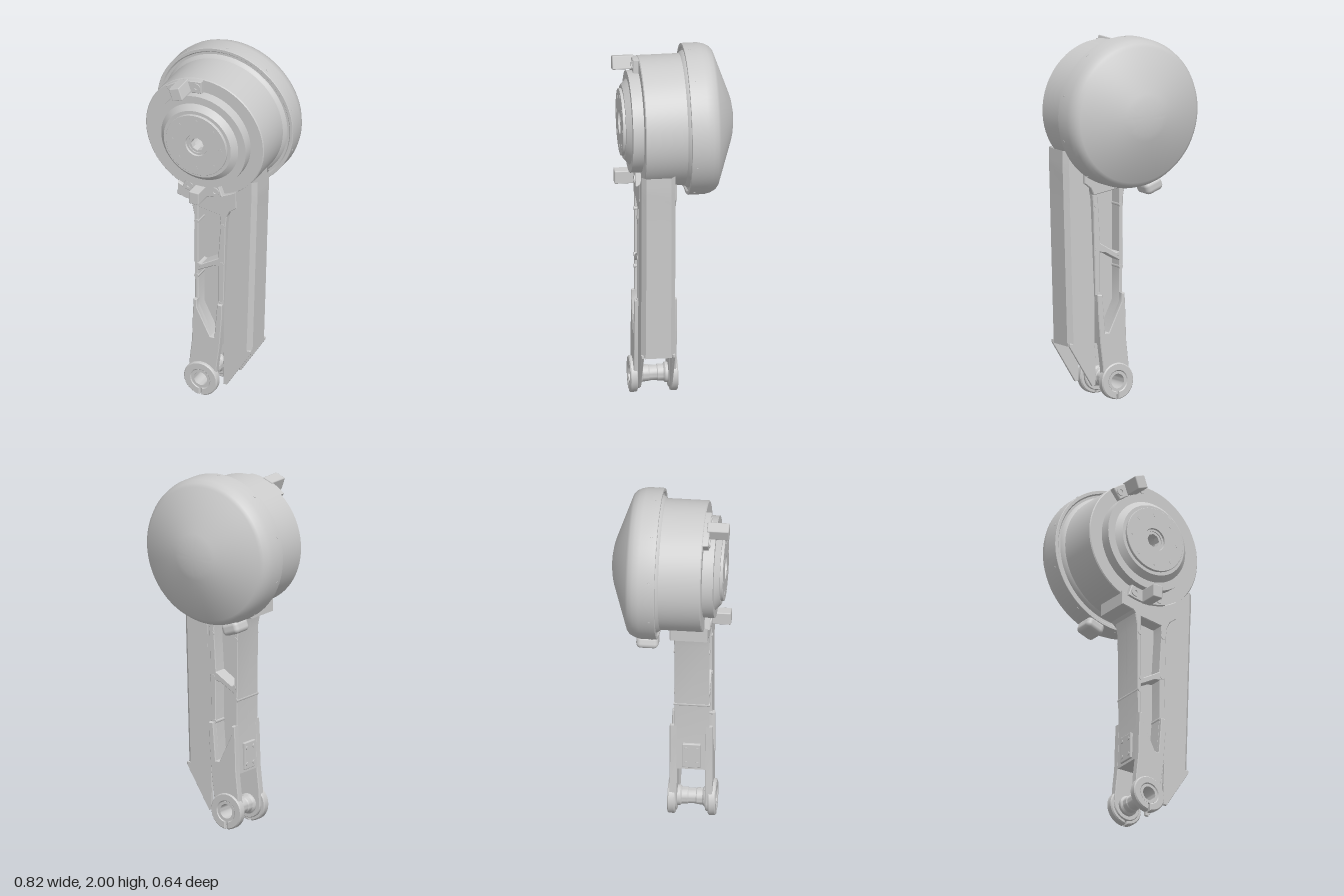
import * as THREE from 'three';
import { toCreasedNormals } from 'three/addons/utils/BufferGeometryUtils.js';
import { RoundedBoxGeometry } from 'three/addons/geometries/RoundedBoxGeometry.js';

const AXIS_Y = 1.59; // height of the motor axis
const EYE_Y = 0.1; // height of the lower pivot

export function createModel() {
  const model = new THREE.Group();
  const grey = new THREE.MeshStandardMaterial({ color: 0xcccccc });
  const greyThin = new THREE.MeshStandardMaterial({ color: 0xcccccc, side: THREE.DoubleSide });

  const add = (name, geometry, x = 0, y = 0, z = 0, material = grey) => {
    const mesh = new THREE.Mesh(geometry, material);
    mesh.name = name;
    mesh.position.set(x, y, z);
    model.add(mesh);
    return mesh;
  };
  const v2 = (pts) => pts.map(([x, y]) => new THREE.Vector2(x, y));
  // Turned part around the z axis; profile is [radius, z]
  const turned = (profile, segments = 64) =>
    toCreasedNormals(new THREE.LatheGeometry(v2(profile), segments).rotateX(Math.PI / 2), 0.5);
  // Plate between two z values, with a small edge bevel
  const plate = (shape, z0, z1, bevel = 0.004) => toCreasedNormals(new THREE.ExtrudeGeometry(shape, {
    depth: z1 - z0 - 2 * bevel, bevelEnabled: bevel > 0, bevelThickness: bevel, bevelSize: bevel,
    bevelOffset: -bevel, bevelSegments: 1, curveSegments: 20,
  }).translate(0, 0, z0 + bevel), 0.5);
  const disc = (r, depth, sides = 12) => new THREE.CylinderGeometry(r, r, depth, sides).rotateX(Math.PI / 2);
  const polar = (r, a) => [r * Math.cos(a), AXIS_Y + r * Math.sin(a)];

  // Motor: domed rear cover, drum, stepped front and central bore
  add('motorHousing', turned([
    [0, -0.323], [0.05, -0.322], [0.1, -0.314], [0.13, -0.306], [0.37, -0.222], [0.388, -0.208],
    [0.402, -0.182], [0.41, -0.15], [0.41, -0.062], [0.408, -0.06], [0.392, -0.06], [0.385, -0.068],
    [0.372, -0.068], [0.366, -0.055], [0.356, -0.045], [0.356, 0.18], [0.351, 0.185], [0.277, 0.185],
    [0.277, 0.245], [0.232, 0.245], [0.202, 0.275], [0.183, 0.275], [0.183, 0.288], [0.181, 0.29],
    [0.065, 0.29], [0.062, 0.28], [0.05, 0.28], [0.05, 0.17], [0, 0.17],
  ], 72), 0, AXIS_Y, 0);
  add('boreNut', turned([[0.038, 0.24], [0.055, 0.24], [0.055, 0.275], [0.038, 0.275], [0.038, 0.24]], 8), 0, AXIS_Y, 0);
  for (let i = 0; i < 8; i++) {
    const [x, y] = polar(0.145, i * Math.PI / 4);
    add('hubBolt', disc(0.014, 0.01, 4), x, y, 0.287);
  }
  for (let i = 0; i < 10; i++) {
    const a = Math.PI / 2 + i * Math.PI / 5;
    const [x, y] = polar(0.406, a);
    const screw = new THREE.Group();
    screw.name = 'coverScrew';
    screw.add(new THREE.Mesh(new THREE.TorusGeometry(0.013, 0.003, 6, 12), grey));
    screw.add(new THREE.Mesh(disc(0.007, 0.012, 6), grey));
    screw.position.set(x, y, -0.09);
    screw.lookAt(x + Math.cos(a), y + Math.sin(a), -0.09);
    model.add(screw);
  }

  // Stop blocks: curved foot on the drum face with a projecting stem
  const stopBlock = (name, mid, halfSpan, stemWidth, stemRadius) => {
    const foot = new THREE.Shape();
    foot.absarc(0, 0, 0.353, mid - halfSpan, mid + halfSpan, false);
    foot.absarc(0, 0, 0.28, mid + halfSpan, mid - halfSpan, true);
    add(name + 'Foot', plate(foot, 0.18, 0.216), 0, AXIS_Y, 0);
    const [x, y] = polar(stemRadius, mid);
    add(name + 'Stem', new RoundedBoxGeometry(stemWidth, 0.075, 0.12, 1, 0.006), x, y, 0.26)
      .rotation.z = mid - Math.PI / 2;
    for (const s of [-1, 1]) {
      const [bx, by] = polar(0.317, mid + s * halfSpan * 0.72);
      add(name + 'Bolt', turned([[0.012, 0], [0.024, 0], [0.024, 0.012], [0.012, 0.012], [0.012, 0]], 14), bx, by, 0.21);
    }
  };
  stopBlock('upperStop', Math.PI / 2 + 0.345, 0.33, 0.065, 0.322);
  stopBlock('lowerStop', -Math.PI / 2, 0.35, 0.06, 0.317);

  // Leg head: saddle that carries the drum
  const head = new THREE.Shape(v2([[-0.06, 1.16], [0.14, 1.13], [0.16, 1.17], [0.2, 1.2]]));
  head.absarc(0, AXIS_Y, 0.347, -0.96, -2.03, true);
  head.lineTo(-0.155, 1.2);
  head.lineTo(-0.085, 1.185);
  add('legHead', plate(head, 0, 0.205));
  add('cableOutlet', new RoundedBoxGeometry(0.11, 0.07, 0.12, 3, 0.025), -0.135, 1.18, -0.12).rotation.z = -0.35;

  // Leg beam: outline with two pockets, closed by a web in the middle
  const beamOutline = v2([[-0.06, 0.31], [0.105, 0.31], [0.12, 0.5], [0.135, 1.08], [0.15, 1.2],
    [-0.075, 1.2], [-0.055, 1.1], [-0.05, 0.58], [-0.055, 0.45]]);
  const beam = new THREE.Shape(beamOutline);
  beam.holes.push(
    new THREE.Path(v2([[-0.03, 1.16], [-0.03, 0.8], [-0.01, 0.8], [0.09, 0.86], [0.105, 1.1], [0.1, 1.16]])),
    new THREE.Path(v2([[-0.03, 0.755], [-0.03, 0.53], [0.05, 0.37], [0.075, 0.37], [0.092, 0.6], [0.092, 0.81], [0.06, 0.805]])),
  );
  add('legBeam', plate(beam, 0.015, 0.205));
  add('legWeb', plate(new THREE.Shape(beamOutline), 0.09, 0.13, 0.006));
  for (const [x, y] of [[-0.04, 1.06], [0.116, 1.07], [-0.03, 0.79], [0.11, 0.83], [-0.04, 0.72], [0.1, 0.58]]) {
    add('beamBolt', disc(0.013, 0.196), x, y, 0.11);
  }

  // Fork: two cheeks, each ending in a split clamping eye
  const cheek = new THREE.Shape(v2([[-0.05, 0.58], [-0.055, 0.48], [-0.06, 0.32], [-0.075, 0.19], [-0.08, EYE_Y]]));
  cheek.absarc(0, EYE_Y, 0.08, Math.PI, Math.PI * 2, false);
  for (const [x, y] of [[0.09, 0.2], [0.105, 0.31], [0.12, 0.5], [0.122, 0.58], [0.092, 0.58],
    [0.075, 0.37], [0.05, 0.37], [-0.03, 0.53], [-0.03, 0.58]]) cheek.lineTo(x, y);
  cheek.holes.push(new THREE.Path().absarc(0, EYE_Y, 0.05, 0, Math.PI * 2, true));
  const eye = new THREE.Shape();
  const slot = 0.05;
  eye.absarc(0, 0, 0.1, -Math.PI / 2 + slot, Math.PI * 1.5 - slot, false);
  eye.absarc(0, 0, 0.055, Math.PI * 1.5 - slot * 2, -Math.PI / 2 + slot * 2, true);
  for (const [side, z] of [['front', 0.2], ['back', -0.01]]) {
    add(side + 'ForkCheek', plate(cheek, z - 0.018 * (side === 'front'), z + 0.022 + 0.018 * (side === 'back')));
    add(side + 'ForkEye', plate(eye, 0, 0.042, 0.006), 0, EYE_Y, side === 'front' ? 0.198 : -0.02);
  }
  // Hollow pivot pin with a grooved middle
  add('pivotPin', turned([[0.04, -0.016], [0.056, -0.016], [0.056, 0.045], [0.046, 0.055], [0.046, 0.085], [0.036 + 0.006, 0.09],
    [0.042, 0.13], [0.046, 0.135], [0.046, 0.165], [0.056, 0.175], [0.056, 0.236], [0.04, 0.236], [0.04, -0.016]], 32), 0, EYE_Y, 0);

  // Bolted cover on the side of the leg
  add('sideCover', new RoundedBoxGeometry(0.02, 0.15, 0.1, 1, 0.005), -0.06, 0.4, 0.11);
  for (const dy of [-0.045, 0.045]) for (const dz of [-0.03, 0.03]) {
    add('sideCoverBolt', new THREE.CylinderGeometry(0.011, 0.011, 0.012, 10).rotateZ(Math.PI / 2), -0.069, 0.4 + dy, 0.11 + dz);
  }

  // Fairing: channel lofted from [y, inner x, outer x], its top cut round the drum
  const levels = [[0.31, 0.125, 0.285], [0.5, 0.125, 0.291], [1.1, 0.152, 0.309], [1.24, 0.175, 0.313]];
  for (const y of [1.29, 1.33, 1.36, 1.385]) {
    levels.push([y, Math.sqrt(0.35 ** 2 - (AXIS_Y - y) ** 2), 0.316]);
  }
  const positions = [], index = [];
  for (const [y, xi, xo] of levels) {
    const bend = Math.max(xi, xo - 0.025);
    for (const [x, z] of [[xi, 0.202], [bend, 0.202], [xo, 0.178], [xo, 0.042], [bend, 0.018], [xi, 0.018]]) positions.push(x, y, z);
  }
  for (let i = 0; i < levels.length - 1; i++) for (let j = 0; j < 5; j++) {
    const a = i * 6 + j, b = a + 6;
    index.push(a, a + 1, b, a + 1, b + 1, b);
  }
  const channel = new THREE.BufferGeometry();
  channel.setAttribute('position', new THREE.Float32BufferAttribute(positions, 3));
  channel.setIndex(index);
  channel.computeVertexNormals();
  add('fairing', toCreasedNormals(channel, 0.4), 0, 0, 0, greyThin);
  // Pointed lower cheeks of the fairing
  const tip = new THREE.Shape(v2([[0.12, 0.08], [0.14, 0.08], [0.285, 0.31], [0.285, 0.325], [0.125, 0.325], [0.118, 0.2]]));
  add('frontFairingTip', plate(tip, 0.188, 0.202, 0.002));
  add('backFairingTip', plate(tip, 0.018, 0.032, 0.002));
  add('fairingLip', new THREE.BoxGeometry(0.012, 0.02, 0.145), 0.278, 0.318, 0.11);

  return model;
}
